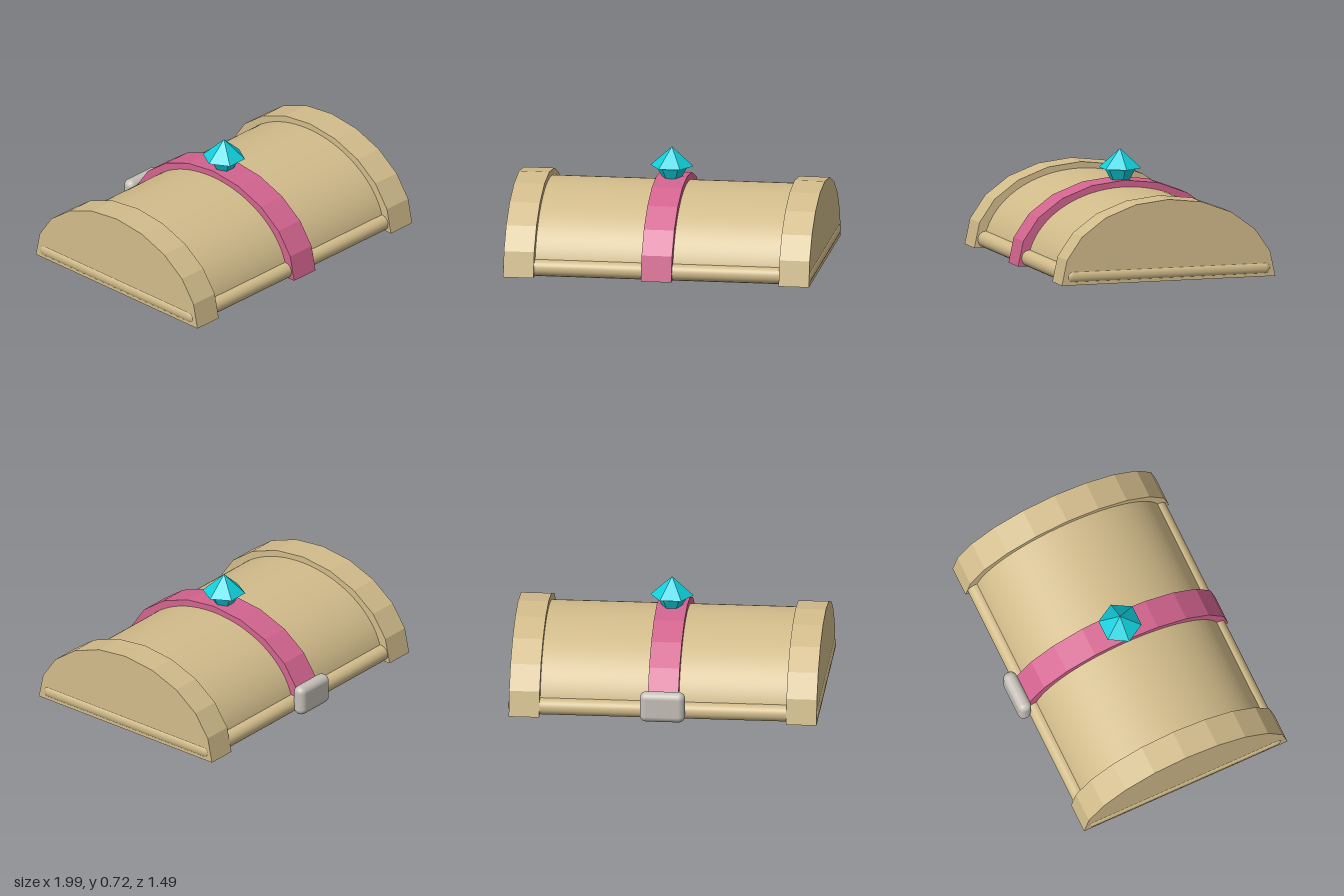
import * as THREE from 'three';
import { RoundedBoxGeometry } from 'three/addons/geometries/RoundedBoxGeometry.js';

const MID_Z = 0.027; // the arch is centred a little forward because of the clasp

function material(name, color, options = {}) {
  const m = new THREE.MeshStandardMaterial({ color, ...options });
  m.name = name;
  return m;
}

// Faceted half-ellipse slab, extruded along x
function archGeometry(width) {
  const shape = new THREE.Shape();
  const steps = 10;
  for (let i = 0; i <= steps; i++) {
    const a = (i / steps) * Math.PI;
    const u = 0.717 * Math.cos(a);
    const v = 0.525 * Math.sin(a);
    if (i === 0) shape.moveTo(u, v);
    else shape.lineTo(u, v);
  }
  shape.closePath();
  const g = new THREE.ExtrudeGeometry(shape, { depth: width, bevelEnabled: false });
  g.translate(0, 0, -width / 2);
  g.rotateY(-Math.PI / 2);
  return g;
}

export function createModel() {
  const tan = material('tan', 0xd2bc8b);
  const pink = material('pink', 0xd3648f);
  const cyan = material('cyan', 0x10cfdc, { flatShading: true });
  const grey = material('grey', 0xc6c0b8);
  const model = new THREE.Group();

  function add(name, geometry, mat, x, y, z) {
    const mesh = new THREE.Mesh(geometry, mat);
    mesh.name = name;
    mesh.position.set(x, y, z);
    model.add(mesh);
    return mesh;
  }

  // Smooth barrel between the end caps
  const barrel = new THREE.CylinderGeometry(1, 1, 1.7, 64, 1, true, 0, Math.PI);
  barrel.rotateZ(Math.PI / 2);
  barrel.scale(1, 0.483, 0.652);
  add('barrel', barrel, tan, 0, 0, MID_Z);

  // Round-edged base whose rim shows below the barrel and through the caps
  add('baseRim', new RoundedBoxGeometry(1.99, 0.104, 1.394, 5, 0.051), tan, 0, 0.053, 0.023);

  // Faceted end caps
  for (const side of [-1, 1]) {
    add(side > 0 ? 'leftEndCap' : 'rightEndCap', archGeometry(0.195), tan, side * 0.8875, 0, MID_Z);
  }

  // Strap over the middle, with a narrow strip under the base
  add('strap', archGeometry(0.196), pink, 0, 0.002, MID_Z);
  add('strapUnderside', new THREE.BoxGeometry(0.08, 0.004, 1.3), pink, 0, 0.002, MID_Z);

  // Clasp at the back
  add('clasp', new RoundedBoxGeometry(0.29, 0.198, 0.09, 3, 0.042), grey, 0, 0.1, -0.697);

  // Hexagonal gem: wide crown over a narrower, tapering base
  const gem = new THREE.Group();
  gem.name = 'gem';
  gem.position.set(0, 0.595, MID_Z);
  const crown = new THREE.Mesh(new THREE.ConeGeometry(0.138, 0.125, 6), cyan);
  crown.name = 'gemCrown';
  crown.position.y = 0.0625;
  const base = new THREE.Mesh(new THREE.CylinderGeometry(0.104, 0.055, 0.09, 6), cyan);
  base.name = 'gemBase';
  base.position.y = -0.045;
  gem.add(crown, base);
  gem.rotation.y = Math.PI / 6; // corners point left and right
  model.add(gem);

  return model;
}
